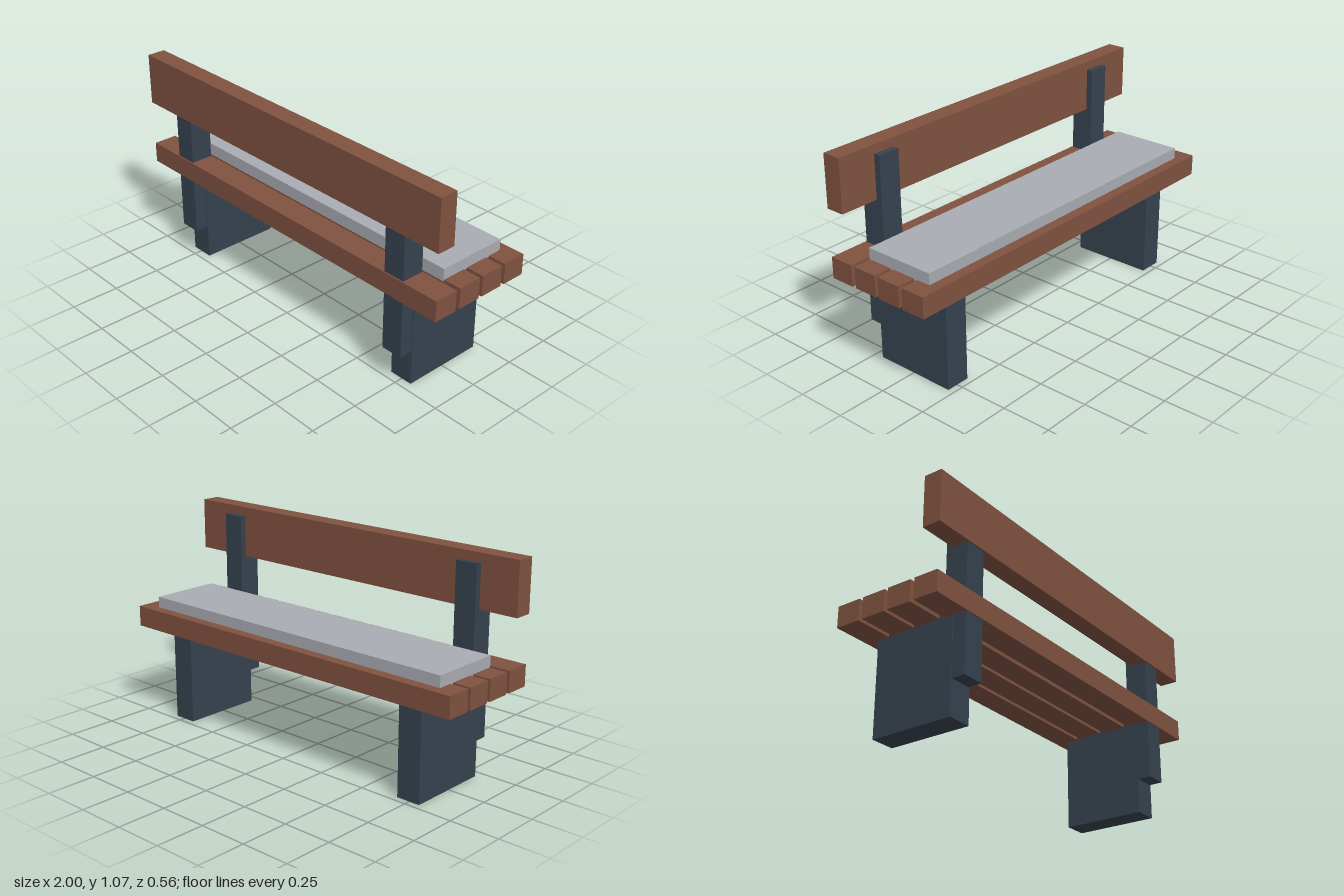
import * as THREE from 'three';

const material = (name, color) => {
  const m = new THREE.MeshStandardMaterial({ color });
  m.name = name;
  return m;
};

export function createModel() {
  const bench = new THREE.Group();
  bench.name = 'bench';
  const wood = material('brown wood', 0x805240);
  const metal = material('dark slate', 0x36424f);
  const fabric = material('grey fabric', 0xa9acb3);

  // Adds a box spanning the given [min, max] ranges
  const box = (name, mat, [x0, x1], [y0, y1], [z0, z1]) => {
    const mesh = new THREE.Mesh(new THREE.BoxGeometry(x1 - x0, y1 - y0, z1 - z0), mat);
    mesh.position.set((x0 + x1) / 2, (y0 + y1) / 2, (z0 + z1) / 2);
    mesh.name = name;
    bench.add(mesh);
  };

  // Four seat slats
  [0.218, 0.071, -0.073, -0.218].forEach((z, i) =>
    box('seatSlat' + (i + 1), wood, [-1, 1], [0.472, 0.577], [z - 0.0625, z + 0.0625]));

  // Backrest board
  box('backrest', wood, [-1, 1], [0.81, 1.07], [0.19, 0.284]);

  // Seat cushion
  box('cushion', fabric, [-0.907, 0.907], [0.57, 0.633], [-0.228, 0.138]);

  // Slab legs and backrest posts on both sides
  for (const [side, s] of [['left', 1], ['right', -1]]) {
    const span = (a, b) => (s > 0 ? [a, b] : [-b, -a]);
    box(side + 'Leg', metal, span(0.682, 0.805), [0, 0.542], [-0.218, 0.206]);
    box(side + 'Post', metal, span(0.687, 0.8), [0.175, 1.026], [0.158, 0.274]);
  }
  return bench;
}
